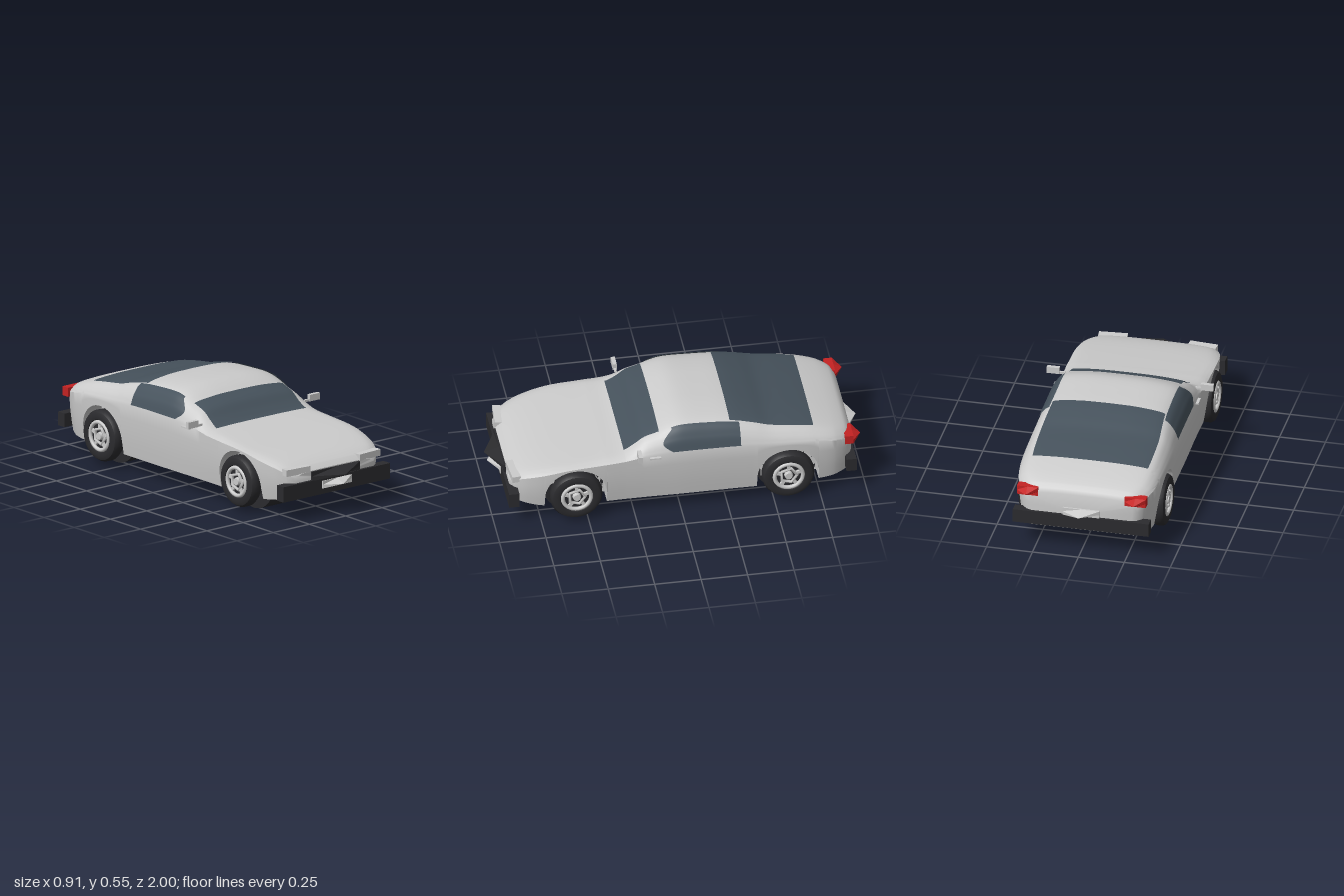
import * as THREE from 'three';
import { toCreasedNormals } from 'three/addons/utils/BufferGeometryUtils.js';

const mat = (color, side = THREE.FrontSide) => new THREE.MeshStandardMaterial({ color, side });
const paint = mat(0xcccccc), black = mat(0x2b2b2e), red = mat(0xc42222), pale = mat(0xdadad6);
const glass = mat(0x46525c, THREE.DoubleSide);

const WHEEL_Z = [0.565, -0.575], AXLE_Y = 0.165, ARCH_R = 0.165, WELL_X = 0.272;

// Body stations: z, top height, half width, roof half width, belt height, bottom height
const KEYS = [
  [0.91, 0.26, 0.27, 0.21, 0.235, 0.14],
  [0.885, 0.283, 0.305, 0.24, 0.258, 0.122],
  [0.83, 0.308, 0.342, 0.275, 0.285, 0.11],
  [0.74, 0.33, 0.37, 0.30, 0.31, 0.1],
  [0.6, 0.35, 0.383, 0.32, 0.338, 0.096],
  [0.41, 0.372, 0.384, 0.32, 0.352, 0.096],
  [0.3, 0.386, 0.382, 0.305, 0.36, 0.096],
  [0.245, 0.42, 0.382, 0.30, 0.37, 0.096],
  [0.19, 0.467, 0.382, 0.30, 0.376, 0.096],
  [0.11, 0.499, 0.383, 0.30, 0.382, 0.096],
  [0.06, 0.525, 0.384, 0.30, 0.385, 0.096],
  [-0.01, 0.545, 0.385, 0.30, 0.386, 0.096],
  [-0.155, 0.542, 0.385, 0.30, 0.386, 0.096],
  [-0.29, 0.53, 0.385, 0.303, 0.384, 0.096],
  [-0.4, 0.503, 0.386, 0.31, 0.38, 0.096],
  [-0.48, 0.478, 0.386, 0.315, 0.376, 0.096],
  [-0.61, 0.456, 0.385, 0.315, 0.37, 0.096],
  [-0.72, 0.434, 0.38, 0.31, 0.362, 0.1],
  [-0.825, 0.405, 0.365, 0.295, 0.348, 0.105],
  [-0.89, 0.38, 0.335, 0.265, 0.33, 0.115],
  [-0.92, 0.358, 0.305, 0.24, 0.315, 0.125],
  [-0.93, 0.335, 0.28, 0.22, 0.3, 0.135],
];

// Smooth interpolation between stations
function station(z) {
  let i = 0;
  while (i < KEYS.length - 2 && z < KEYS[i + 1][0]) i++;
  const a = KEYS[i], b = KEYS[i + 1], p = KEYS[Math.max(i - 1, 0)], q = KEYS[Math.min(i + 2, KEYS.length - 1)];
  const h = b[0] - a[0], t = Math.min(1, Math.max(0, (z - a[0]) / h));
  return [1, 2, 3, 4, 5].map((k) => {
    const ma = (b[k] - p[k]) / (b[0] - p[0]) * h, mb = (q[k] - a[k]) / (q[0] - a[0]) * h;
    const t2 = t * t, t3 = t2 * t;
    return a[k] * (2 * t3 - 3 * t2 + 1) + ma * (t3 - 2 * t2 + t) + b[k] * (3 * t2 - 2 * t3) + mb * (t3 - t2);
  });
}

// Upper half section, from belt line (t = 0) over the roof edge (t = 0.5) to the centre (t = 1)
function upperCurve(z) {
  const [top, w, roof, belt] = station(z), h = top - belt;
  return new THREE.CatmullRomCurve3([
    [w, belt], [w - (w - roof) * 0.33, belt + h * 0.45], [roof, belt + h * 0.82], [roof * 0.55, belt + h * 0.97], [0, top],
  ].map(([x, y]) => new THREE.Vector3(x, y, z)), false, 'catmullrom', 0.5);
}

// Whole closed section; the sill rises over the wheels to leave open arches
function section(z) {
  const [, w, , belt, bottom] = station(z);
  let sill = bottom;
  for (const c of WHEEL_Z) {
    const d = Math.abs(z - c);
    if (d <= ARCH_R + 1e-6) sill = AXLE_Y + Math.sqrt(Math.max(0, ARCH_R ** 2 - d * d));
  }
  sill = Math.min(sill, belt - 0.006);
  const inner = Math.min(WELL_X, w * 0.85), half = [[0, bottom], [inner, bottom], [inner, sill]];
  for (let k = 0; k < 4; k++) {
    const y = sill + (belt - sill) * k / 4, f = (belt - y) / (belt - bottom);
    half.push([w - 0.025 * f * f, y]);
  }
  for (const p of upperCurve(z).getPoints(16)) half.push([p.x, p.y]);
  return half.concat(half.slice(1, -1).reverse().map(([x, y]) => [-x, y]));
}

function bodyGeometry() {
  const zs = KEYS.map((k) => k[0]);
  for (let i = 1; i < 60; i++) zs.push(0.91 - 1.84 * i / 60);
  for (const c of WHEEL_Z) {
    zs.push(c + ARCH_R + 0.0015, c - ARCH_R - 0.0015);
    for (let i = 0; i <= 24; i++) zs.push(c + ARCH_R * Math.cos(Math.PI * i / 24));
  }
  zs.sort((a, b) => b - a);
  const pos = [], idx = [], rings = zs.map(section), n = rings[0].length;
  rings.forEach((r, i) => r.forEach(([x, y]) => pos.push(x, y, zs[i])));
  for (let i = 0; i < zs.length - 1; i++) for (let j = 0; j < n; j++) {
    const a = i * n + j, b = i * n + (j + 1) % n;
    idx.push(a, a + n, b, b, a + n, b + n);
  }
  // Nose and tail caps
  const last = (zs.length - 1) * n, c = zs.length * n;
  pos.push(0, 0.2, zs[0], 0, 0.22, zs[zs.length - 1]);
  for (let j = 0; j < n; j++) {
    const k = (j + 1) % n;
    idx.push(c, j, k, c + 1, last + k, last + j);
  }
  const g = new THREE.BufferGeometry();
  g.setAttribute('position', new THREE.Float32BufferAttribute(pos, 3));
  g.setIndex(idx);
  return toCreasedNormals(g, 0.65);
}

// Glass patch lying just above the body; point(u, v) gives [z, t, side]
function glassGeometry(point) {
  const g = new THREE.PlaneGeometry(1, 1, 24, 24), p = g.attributes.position;
  for (let i = 0; i < p.count; i++) {
    const [z, t, side] = point(p.getX(i) + 0.5, p.getY(i) + 0.5);
    const q = upperCurve(z).getPoint(t);
    p.setXYZ(i, side * (q.x + (t < 0.6 ? 0.004 : 0)), q.y + 0.004, z);
  }
  g.computeVertexNormals();
  return g;
}

// Box whose front face is drawn out to a point
function pointedBox(w, h, d, tip) {
  const g = new THREE.BoxGeometry(w, h, d, 2, 2, 1), p = g.attributes.position;
  for (let i = 0; i < p.count; i++)
    if (Math.abs(p.getX(i)) < 1e-6 && Math.abs(p.getY(i)) < 1e-6 && p.getZ(i) > 0) p.setZ(i, d / 2 + tip);
  const flat = g.toNonIndexed();
  flat.computeVertexNormals();
  return flat;
}

// Wheel facing +x
function makeWheel() {
  const wheel = new THREE.Group();
  const put = (name, geo, m, x) => {
    const mesh = new THREE.Mesh(geo, m);
    mesh.name = name;
    mesh.position.x = x;
    wheel.add(mesh);
    return mesh;
  };
  const profile = [[0.001, -0.036], [0.11, -0.04], [0.13, -0.032], [0.14, -0.016], [0.14, 0.016], [0.13, 0.032], [0.11, 0.04], [0.09, 0.036], [0.085, 0.018], [0.001, 0.018]];
  const tyre = new THREE.LatheGeometry(profile.map(([x, y]) => new THREE.Vector2(x, y)), 32).rotateZ(-Math.PI / 2);
  put('tyre', toCreasedNormals(tyre, 0.6), black, 0);
  put('rim', new THREE.TorusGeometry(0.076, 0.011, 8, 30).rotateY(Math.PI / 2), paint, 0.03);
  put('spokeRing', new THREE.TorusGeometry(0.046, 0.009, 6, 5).rotateY(Math.PI / 2), paint, 0.028);
  put('hub', new THREE.CylinderGeometry(0.02, 0.024, 0.02, 10).rotateZ(-Math.PI / 2), paint, 0.028);
  for (let i = 0; i < 5; i++)
    put('spoke', new THREE.BoxGeometry(0.012, 0.04, 0.018).translate(0, 0.058, 0), paint, 0.026).rotation.x = i * Math.PI * 0.4;
  return wheel;
}

export function createModel() {
  const car = new THREE.Group();
  car.name = 'car';
  const add = (name, geo, m, x = 0, y = 0, z = 0) => {
    const mesh = new THREE.Mesh(geo, m);
    mesh.name = name;
    mesh.position.set(x, y, z);
    car.add(mesh);
    return mesh;
  };
  const box = (w, h, d) => new THREE.BoxGeometry(w, h, d);

  add('body', bodyGeometry(), paint);

  // Windows
  const across = (z0, z1) => (u, v) => [z0 + (z1 - z0) * v, 1 - Math.abs(u - 0.5), u < 0.5 ? -1 : 1];
  add('windscreen', glassGeometry(across(0.3, 0.11)), glass);
  add('rearWindow', glassGeometry(across(-0.27, -0.72)), glass);

  // Bumpers, grille and plates
  add('frontBumper', box(0.735, 0.085, 0.055), black, 0, 0.166, 0.898);
  add('rearBumper', box(0.74, 0.075, 0.055), black, 0, 0.178, -0.917);
  add('grille', pointedBox(0.33, 0.05, 0.03, 0.08), black, 0, 0.23, 0.905);
  add('frontPlate', pointedBox(0.2, 0.042, 0.02, 0.055), pale, 0, 0.175, 0.92);
  add('rearPlate', pointedBox(0.2, 0.042, 0.03, 0.06), pale, 0, 0.236, -0.925).rotation.y = Math.PI;

  // Mirrored parts
  for (const s of [1, -1]) {
    add('sideWindow', glassGeometry((u, v) => {
      const front = 0.045 + 0.05 * Math.sin(Math.PI * Math.min(1, v * 1.1)), back = -0.32;
      return [back + (front - back) * u, 0.02 + 0.46 * v, s];
    }), glass);
    add('headlight', box(0.155, 0.036, 0.045), pale, s * 0.245, 0.27, 0.884).rotation.y = s * 0.08;
    add('tailLight', pointedBox(0.115, 0.05, 0.045, 0.045), red, s * 0.293, 0.33, -0.908).rotation.y = Math.PI;
    add('mirror', box(0.068, 0.036, 0.022), paint, s * 0.419, 0.412, 0.23);
    add('mirrorStalk', box(0.04, 0.012, 0.012), paint, s * 0.375, 0.4, 0.23);
    add('doorHandle', box(0.018, 0.008, 0.06), paint, s * 0.389, 0.37, 0.142);
  }

  // Wheels and the dark wells joining each pair
  for (const z of WHEEL_Z) {
    add('wheelWell', new THREE.CylinderGeometry(ARCH_R, ARCH_R, WELL_X * 2, 40).rotateZ(Math.PI / 2), black, 0, AXLE_Y, z);
    for (const s of [1, -1]) {
      const wheel = makeWheel();
      wheel.name = z > 0 ? 'frontWheel' : 'rearWheel';
      wheel.position.set(s * 0.36, AXLE_Y, z);
      wheel.rotation.y = s > 0 ? 0 : Math.PI;
      car.add(wheel);
    }
  }
  return car;
}
